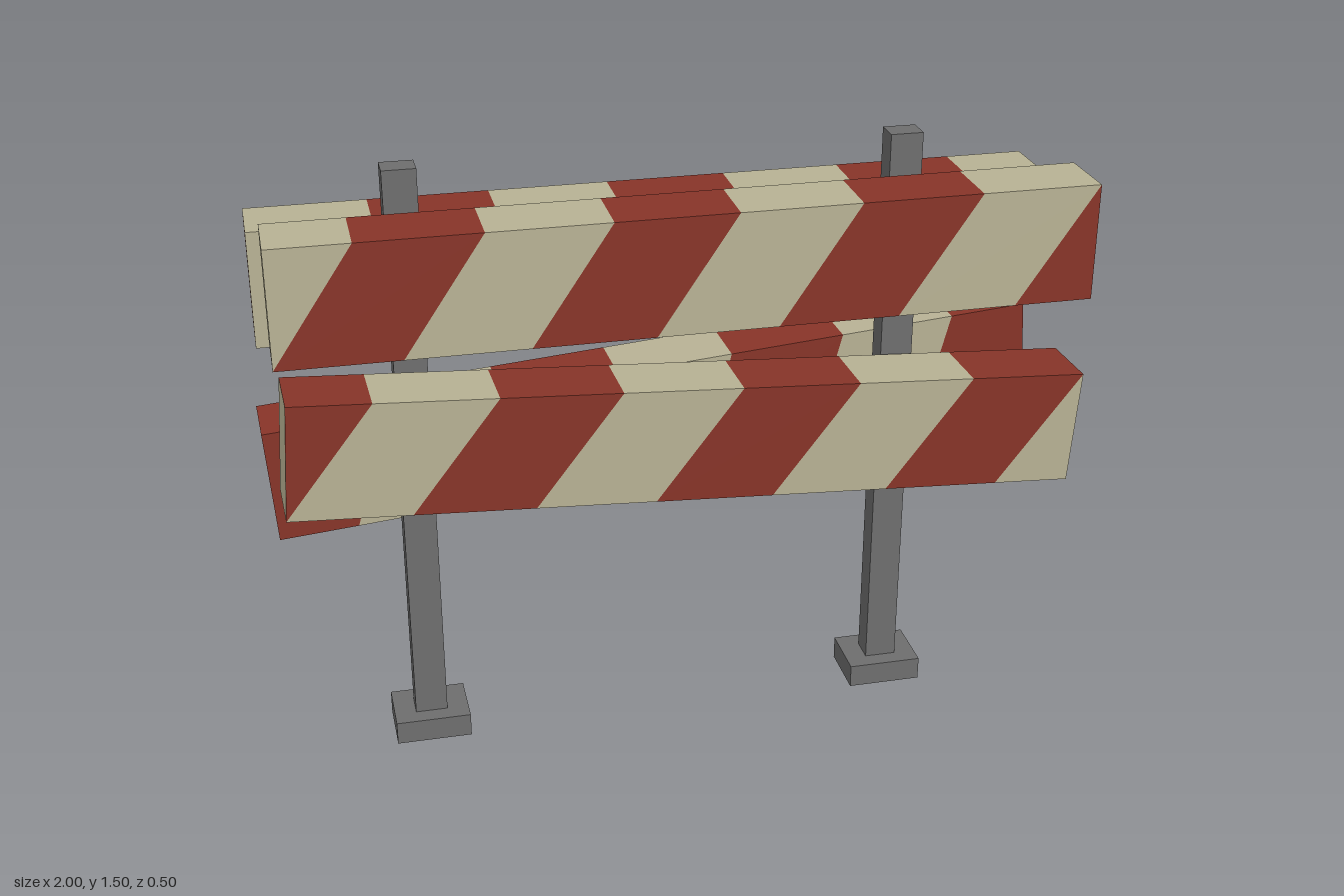
import * as THREE from 'three';

const L = 1.94, H = 0.288, D = 0.167;      // plank length, height, depth
const STEP = L * 0.15, SLANT = L * 0.1;    // stripe spacing and lean

const red = new THREE.MeshStandardMaterial({ color: 0x8a3529 });
const cream = new THREE.MeshStandardMaterial({ color: 0xbbb597 });
const steel = new THREE.MeshStandardMaterial({ color: 0x707070 });

// Striped plank: stripes wrap around the four long faces in a spiral
function createPlank(name, firstIsRed) {
  const tris = { red: [], cream: [] };
  const quad = (isRed, a, b, c, d) =>
    tris[isRed ? 'red' : 'cream'].push(...a, ...b, ...c, ...a, ...c, ...d);

  // long edges as [y, z, stripe shift], going around the section
  const edges = [
    [-H / 2, D / 2, 0],
    [H / 2, D / 2, SLANT],
    [H / 2, -D / 2, SLANT],
    [-H / 2, -D / 2, STEP],
    [-H / 2, D / 2, STEP],
  ];
  const at = ([y, z, shift], k) =>
    [THREE.MathUtils.clamp(-L / 2 + shift + STEP * k, -L / 2, L / 2), y, z];
  for (let e = 0; e < 4; e++) {
    const A = edges[e], B = edges[e + 1];
    for (let k = 0; k < 8; k++) {
      const a0 = at(A, k - 1), a1 = at(A, k), b0 = at(B, k - 1), b1 = at(B, k);
      if (a1[0] - a0[0] < 1e-6 && b1[0] - b0[0] < 1e-6) continue;
      quad((k % 2 === 0) === firstIsRed, a0, a1, b1, b0);
    }
  }

  // plain end caps
  const corners = (x) => edges.slice(0, 4).map(([y, z]) => [x, y, z]);
  quad(true, ...corners(L / 2).map((p, i, c) => c[(4 - i) % 4]));
  quad(false, ...corners(-L / 2));

  const plank = new THREE.Group();
  plank.name = name;
  for (const [key, material] of [['red', red], ['cream', cream]]) {
    const geo = new THREE.BufferGeometry();
    geo.setAttribute('position', new THREE.Float32BufferAttribute(tris[key], 3));
    geo.computeVertexNormals();
    const mesh = new THREE.Mesh(geo, material);
    mesh.name = key + 'Stripes';
    plank.add(mesh);
  }
  return plank;
}

// One side of the barrier: a level upper plank and a sagging lower one
function createSide(name) {
  const side = new THREE.Group();
  side.name = name;
  const upper = createPlank('upperPlank', false);
  upper.position.set(0.015, 1.265, 0.135);
  const lower = createPlank('lowerPlank', true);
  lower.position.set(0.018, 0.834, 0.137);
  lower.rotation.set(0, 0.029, -0.071);
  side.add(upper, lower);
  return side;
}

function box(name, w, y0, y1, d) {
  const mesh = new THREE.Mesh(new THREE.BoxGeometry(w, y1 - y0, d), steel);
  mesh.position.y = (y0 + y1) / 2;
  mesh.name = name;
  return mesh;
}

export function createModel() {
  const model = new THREE.Group();
  model.name = 'roadBarrier';

  // posts on square feet
  for (const [name, x] of [['rightPost', -0.635], ['leftPost', 0.565]]) {
    const post = new THREE.Group();
    post.name = name;
    post.position.x = x;
    post.add(box('upright', 0.08, 0.06, 1.505, 0.064), box('foot', 0.188, 0, 0.06, 0.15));
    model.add(post);
  }

  // the back planks are the front ones turned around, set a little lower
  const front = createSide('frontPlanks');
  const back = createSide('backPlanks');
  back.rotation.y = Math.PI;
  back.position.y = -0.055;
  model.add(front, back);
  return model;
}
